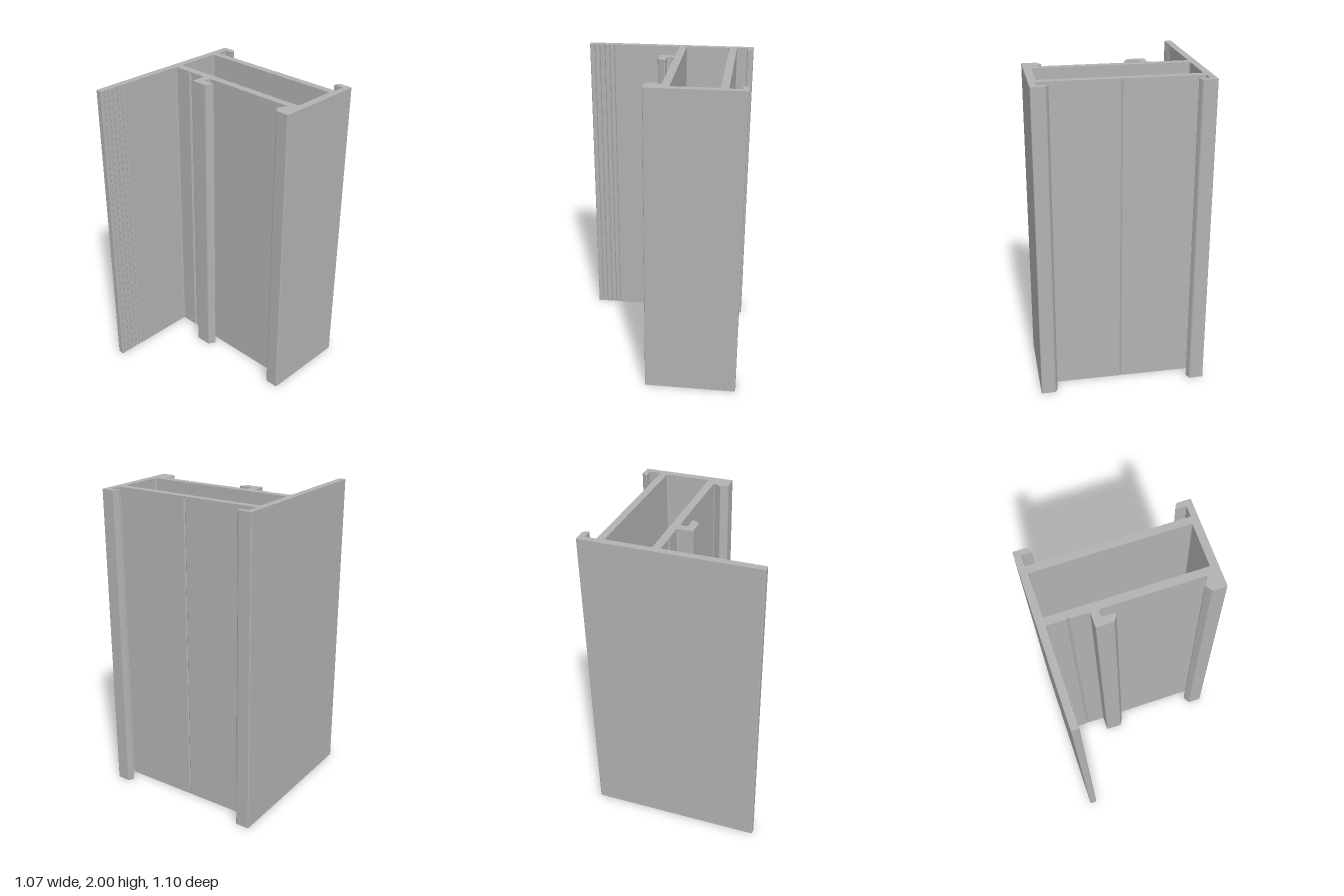
import * as THREE from 'three';

const HEIGHT = 2;

// Traces a closed path through [x, z, cornerRadius] points
function trace(path, points) {
  const pts = points.map(([x, z, r = 0]) => ({ v: new THREE.Vector2(x, -z), r }));
  const n = pts.length;
  const toward = (a, b, d) => b.clone().sub(a).setLength(d).add(a);
  pts.forEach(({ v, r }, i) => {
    const start = r ? toward(v, pts[(i + n - 1) % n].v, r) : v;
    if (i === 0) path.moveTo(start.x, start.y);
    else path.lineTo(start.x, start.y);
    if (r) {
      const end = toward(v, pts[(i + 1) % n].v, r);
      path.quadraticCurveTo(v.x, v.y, end.x, end.y);
    }
  });
  path.closePath();
  return path;
}

export function createModel() {
  const group = new THREE.Group();
  group.name = 'extrudedFrameProfile';
  const aluminium = new THREE.MeshStandardMaterial({ color: 0xb2b2b2 });
  aluminium.name = 'grey aluminium';

  // Grip grooves on the inner face of the long flange
  const grip = [0.385, 0.417, 0.45, 0.485, 0.519].flatMap((z) => [
    [-0.487, z - 0.006], [-0.493, z], [-0.487, z + 0.006],
  ]);

  const outline = [
    // back left hook
    [-0.533, -0.55, 0.008], [-0.443, -0.55, 0.01], [-0.425, -0.513, 0.007],
    [-0.493, -0.513, 0.008], [-0.493, -0.44, 0.008],
    // centre line groove in the back wall
    [-0.006, -0.44], [0, -0.434], [0.006, -0.44],
    // back right hook
    [0.493, -0.44, 0.008], [0.493, -0.513, 0.008], [0.425, -0.513, 0.007],
    [0.443, -0.55, 0.01], [0.533, -0.55, 0.008],
    // front right pointed lip
    [0.533, 0.04, 0.008], [0.444, 0.04, 0.008], [0.415, -0.006, 0.006],
    [0.449, -0.058, 0.011],
    // front hook with a rounded slot
    [-0.184, -0.058, 0.024], [-0.184, -0.01, 0.024], [-0.096, -0.01, 0.01],
    [-0.124, 0.04, 0.008], [-0.233, 0.04, 0.008], [-0.233, -0.058, 0.008],
    // small groove in the front wall
    [-0.349, -0.058], [-0.359, -0.067], [-0.369, -0.058],
    // long flange
    [-0.487, -0.058, 0.01], ...grip, [-0.487, 0.55, 0.01], [-0.533, 0.55, 0.008],
  ];

  const shape = trace(new THREE.Shape(), outline);

  // Hollow chamber
  shape.holes.push(trace(new THREE.Path(), [
    [-0.487, -0.393, 0.012], [-0.487, -0.108, 0.012],
    [0.484, -0.108, 0.012], [0.484, -0.393, 0.012],
  ]));

  const geometry = new THREE.ExtrudeGeometry(shape, {
    depth: HEIGHT, bevelEnabled: false, curveSegments: 5,
  });
  geometry.rotateX(-Math.PI / 2);

  const profile = new THREE.Mesh(geometry, aluminium);
  profile.name = 'hollowProfile';
  group.add(profile);
  return group;
}
